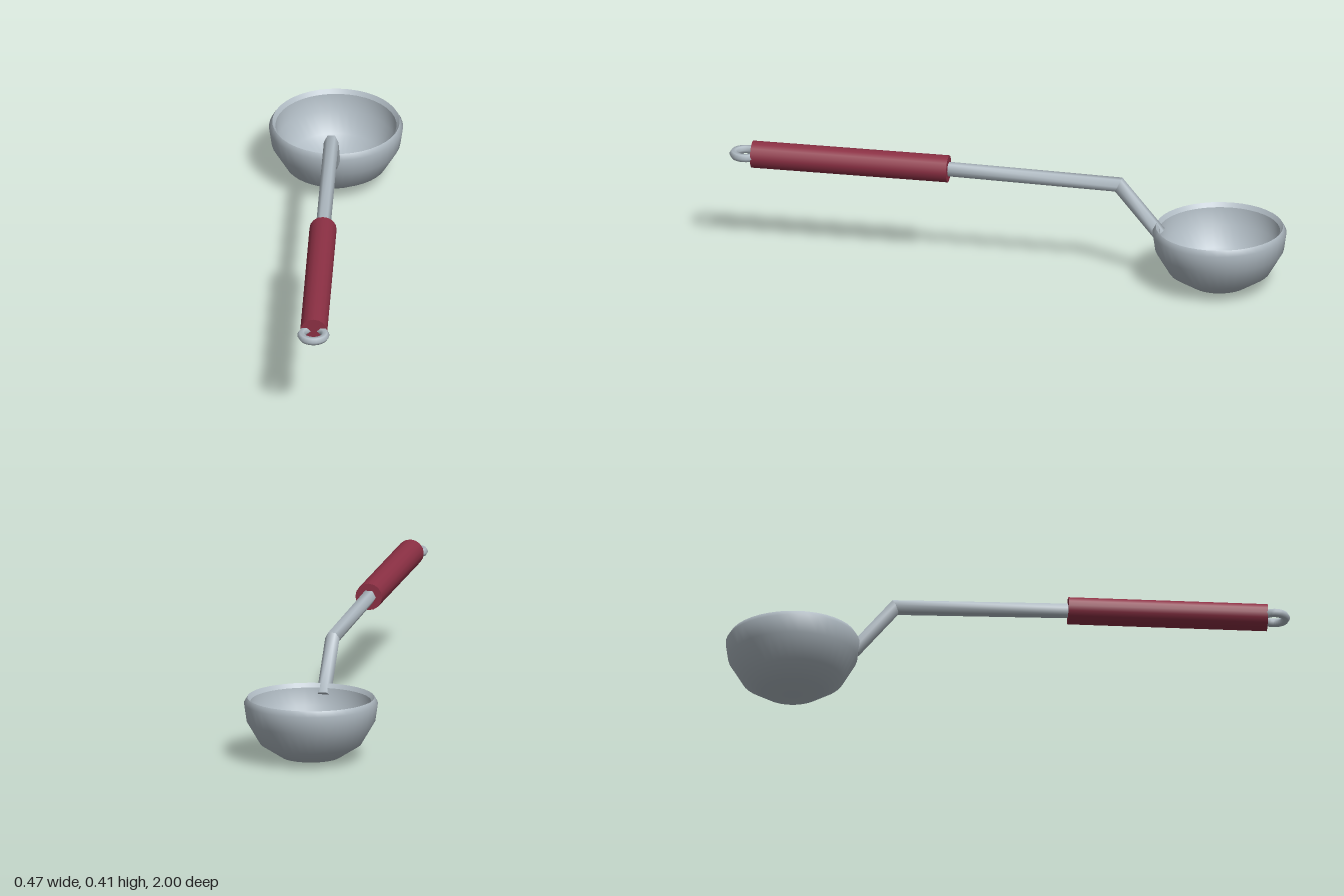
import * as THREE from 'three';

const steel = new THREE.MeshStandardMaterial({ name: 'steel', color: 0xb0bbc3 });
const red = new THREE.MeshStandardMaterial({ name: 'dark red grip', color: 0x8c3044 });

const BOWL_Z = -0.763;
const AXIS_Y = 0.367;

function addMesh(group, name, geometry, material, y = 0, z = 0) {
  const mesh = new THREE.Mesh(geometry, material);
  mesh.name = name;
  mesh.position.set(0, y, z);
  group.add(mesh);
  return mesh;
}

function lathe(points) {
  return new THREE.LatheGeometry(points.map(([r, y]) => new THREE.Vector2(r, y)), 40);
}

// Hexagonal bar between two sections { y, z, up: [y, z] }, running towards -z
function bar(from, to, radius) {
  const sides = 6, positions = [], index = [];
  for (const s of [from, to]) {
    for (let i = 0; i < sides; i++) {
      const a = (i / sides) * Math.PI * 2;
      const c = Math.cos(a) * radius, h = Math.sin(a) * radius;
      positions.push(c, s.y + s.up[0] * h, s.z + s.up[1] * h);
    }
  }
  for (let i = 0; i < sides; i++) {
    const j = (i + 1) % sides;
    index.push(i, i + sides, j, j, i + sides, j + sides);
  }
  // Far end cap with its own vertices
  const base = positions.length / 3;
  positions.push(...positions.slice(sides * 3));
  for (let i = 1; i < sides - 1; i++) index.push(base, base + i + 1, base + i);
  const g = new THREE.BufferGeometry();
  g.setAttribute('position', new THREE.Float32BufferAttribute(positions, 3));
  g.setIndex(index);
  g.computeVertexNormals();
  return g;
}

export function createModel() {
  const group = new THREE.Group();
  group.name = 'ladle';

  // Bowl: outer shell, bevelled rim and inner shell
  const bowl = new THREE.Group();
  bowl.name = 'bowl';
  bowl.position.z = BOWL_Z;
  group.add(bowl);
  addMesh(bowl, 'bowlOuter', lathe([
    [0, 0], [0.105, 0.012], [0.18, 0.06], [0.228, 0.142], [0.237, 0.205], [0.225, 0.225],
  ]), steel);
  addMesh(bowl, 'bowlRim', lathe([[0.225, 0.225], [0.214, 0.21]]), steel);
  addMesh(bowl, 'bowlInner', lathe([
    [0.214, 0.21], [0.206, 0.148], [0.165, 0.076], [0.097, 0.03], [0, 0.018],
  ]), steel);

  // Shaft: long straight bar, mitred into the sloping neck
  const start = { y: AXIS_Y, z: 0.25, up: [1, 0] };
  const bend = { y: 0.356, z: -0.4, up: [1, -0.466] };
  const end = { y: 0.182, z: -0.546, up: [0.643, -0.766] };
  addMesh(group, 'shaft', bar(start, bend, 0.026), steel);
  addMesh(group, 'neck', bar(bend, end, 0.026), steel);

  // Grip
  const grip = new THREE.CylinderGeometry(0.048, 0.048, 0.706, 16);
  grip.rotateX(Math.PI / 2);
  addMesh(group, 'grip', grip, red, AXIS_Y, 0.565);

  // Hanging ring, lying flat
  const ring = new THREE.TorusGeometry(0.042, 0.015, 6, 24);
  ring.rotateX(Math.PI / 2);
  addMesh(group, 'hangingRing', ring, steel, AXIS_Y, 0.943);

  return group;
}
